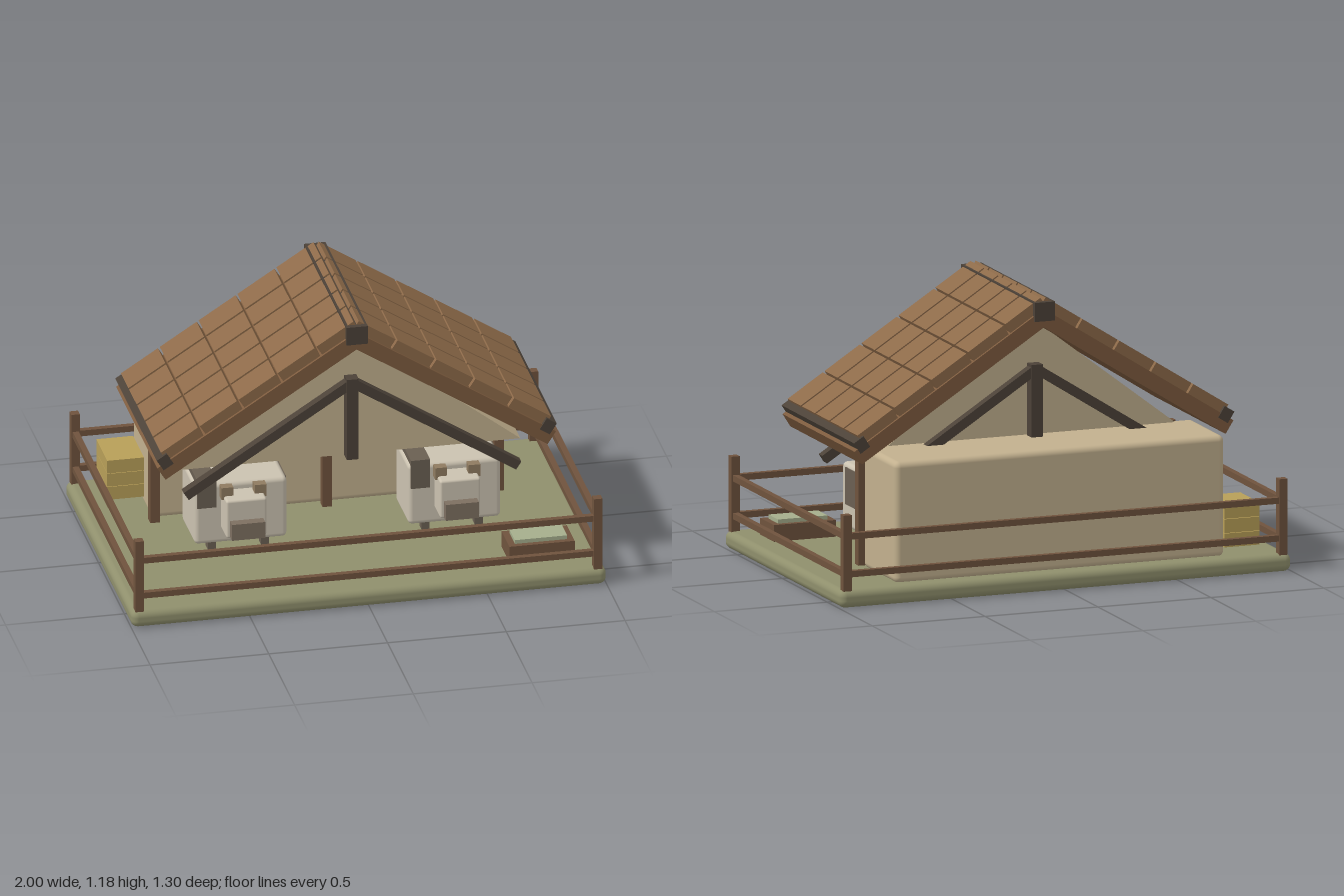
import * as THREE from 'three';
import { RoundedBoxGeometry } from 'three/addons/geometries/RoundedBoxGeometry.js';

const mat = (color) => new THREE.MeshStandardMaterial({ color });
const M = {
  ground: mat(0x8f8f6c), wall: mat(0xc2b08e), wood: mat(0x6f533d), roof: mat(0x7d5b3e),
  tile: mat(0x8d6a49), dark: mat(0x4c4238), hay: mat(0xb89f58), water: mat(0xa5ae8c),
  hide: mat(0xcbc2b0), patch: mat(0x6a5f52), ear: mat(0x8f7b60), snout: mat(0x7d6f60),
};

// Box given by its extents on each axis; r > 0 rounds the edges
function box(parent, name, material, [x0, x1], [y0, y1], [z0, z1], r = 0) {
  const size = [x1 - x0, y1 - y0, z1 - z0];
  const geo = r ? new RoundedBoxGeometry(...size, 3, r) : new THREE.BoxGeometry(...size);
  const mesh = new THREE.Mesh(geo, material);
  mesh.position.set((x0 + x1) / 2, (y0 + y1) / 2, (z0 + z1) / 2);
  mesh.name = name;
  parent.add(mesh);
  return mesh;
}
const around = (c, w) => [c - w / 2, c + w / 2];

function group(parent, name) {
  const g = new THREE.Group();
  g.name = name;
  parent.add(g);
  return g;
}

const PITCH = 0.567; // roof slope in radians

function addRoof(parent) {
  const roof = group(parent, 'roof');
  for (const s of [1, -1]) {
    // Local x runs down the slope, local y away from it
    const side = group(roof, s > 0 ? 'leftRoofSide' : 'rightRoofSide');
    side.rotation.y = s > 0 ? 0 : Math.PI;
    const slope = group(side, 'roofSlope');
    slope.position.y = 1.134;
    slope.rotation.z = -PITCH;
    box(slope, 'roofSlab', M.roof, [0, 0.995], [-0.065, 0], [-0.4, 0.4]);
    box(slope, 'eaveTrim', M.dark, around(0.953, 0.05), around(0.005, 0.055), [-0.403, 0.403]);
    for (let row = 0; row < 5; row++)
      for (let col = -2; col <= 2; col++)
        box(slope, 'roofTile', M.tile, around(0.077 + row * 0.194, 0.184), [-0.002, 0.045],
          around(col * 0.158, 0.145));
  }
  box(roof, 'ridgeBeam', M.dark, [-0.045, 0.045], [1.085, 1.165], [-0.412, 0.412]);
}

function addTruss(parent, z) {
  const truss = group(parent, 'truss');
  box(truss, 'kingPost', M.dark, [-0.025, 0.025], [0.52, 0.885], around(z, 0.05));
  for (const s of [1, -1]) {
    const brace = box(truss, 'brace', M.dark, around(0, 0.83), around(0, 0.04), around(z, 0.04));
    brace.position.set(s * 0.35, 0.643, z);
    brace.rotation.z = -s * PITCH;
  }
}

function addFence(parent) {
  const fence = group(parent, 'fence');
  for (const s of [1, -1]) {
    for (const t of [1, -1])
      box(fence, 'fencePost', M.wood, around(s * 0.965, 0.036), [0.07, 0.39], around(t * 0.622, 0.036));
    for (const y of [0.14, 0.299]) {
      box(fence, 'longRail', M.wood, [-0.965, 0.965], around(y, 0.026), around(s * 0.622, 0.025));
      box(fence, 'shortRail', M.wood, around(s * 0.965, 0.025), around(y, 0.026), [-0.622, 0.622]);
    }
  }
}

function addCow(parent, x) {
  const cow = group(parent, 'cow');
  cow.position.x = x;
  box(cow, 'body', M.hide, [-0.195, 0.195], [0.15, 0.422], [-0.02, 0.23], 0.02);
  box(cow, 'head', M.hide, [-0.085, 0.085], [0.22, 0.39], [0.2, 0.34], 0.01);
  box(cow, 'snout', M.snout, [-0.07, 0.07], [0.228, 0.3], [0.33, 0.38]);
  box(cow, 'sidePatch', M.patch, [0.16, 0.2], [0.25, 0.405], [-0.08, 0.178]);
  box(cow, 'shoulderPatch', M.patch, [-0.185, -0.105], [0.317, 0.445], [0.02, 0.235]);
  box(cow, 'tail', M.ear, [-0.015, 0.015], [0.24, 0.37], [-0.05, -0.015]);
  for (const s of [1, -1]) {
    box(cow, 'ear', M.ear, around(s * 0.07, 0.05), [0.375, 0.428], [0.25, 0.29]);
    for (const z of [0.16, 0.05])
      box(cow, 'leg', M.patch, around(s * 0.112, 0.034), [0.102, 0.17], around(z, 0.04));
  }
}

export function createModel() {
  const model = new THREE.Group();
  model.name = 'cowShed';

  // Ground and rear building
  box(model, 'ground', M.ground, [-1, 1], [0, 0.075], [-0.652, 0.652], 0.03);
  box(model, 'rearBarn', M.wall, [-0.73, 0.73], [0.07, 0.58], [-0.58, -0.22], 0.025);
  for (const x of [-0.725, 0, 0.725])
    box(model, 'barnPost', M.wood, around(x, 0.04), [0.07, 0.535], around(-0.19, 0.04));

  // Solid gable under the roof
  const outline = new THREE.Shape([[-0.72, 0.515], [0.72, 0.515], [0, 1.07]]
    .map(([x, y]) => new THREE.Vector2(x, y)));
  const gable = new THREE.Mesh(
    new THREE.ExtrudeGeometry(outline, { depth: 0.52, bevelEnabled: false }), M.wall);
  gable.position.z = -0.26;
  gable.name = 'gable';
  model.add(gable);

  addRoof(model);
  addTruss(model, 0.3);
  addTruss(model, -0.3);
  addFence(model);
  addCow(model, -0.45);
  addCow(model, 0.45);

  // Stacked hay bales beside the barn
  for (let i = 0; i < 3; i++)
    box(model, 'hayBale', M.hay, [-0.885, -0.73], [0.107 + i * 0.06, 0.165 + i * 0.06], [-0.572, -0.36]);

  // Water trough
  box(model, 'trough', M.wood, [0.62, 0.895], [0.07, 0.145], [0.355, 0.508]);
  box(model, 'troughWater', M.water, [0.648, 0.868], [0.14, 0.162], [0.378, 0.485]);

  return model;
}
